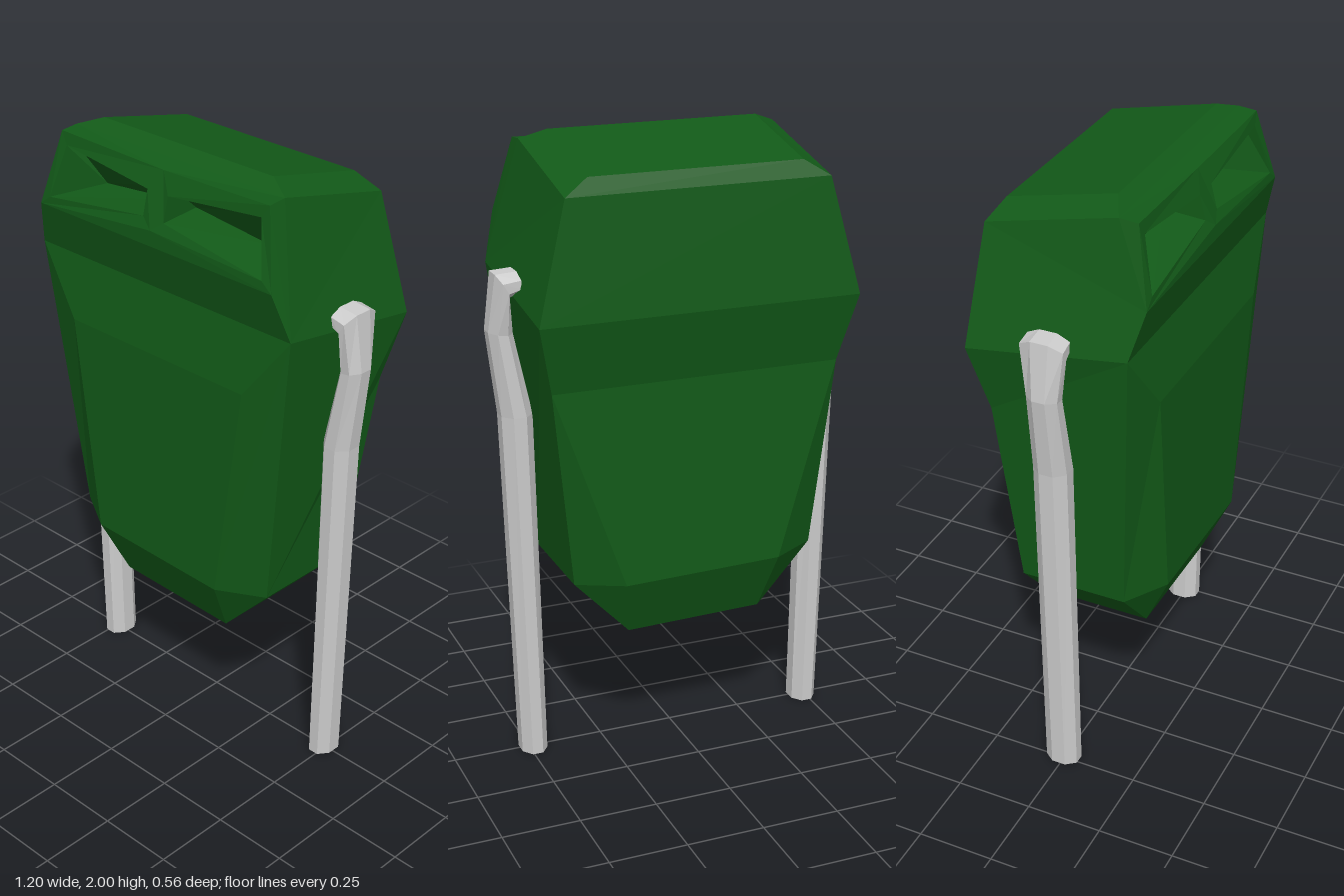
import * as THREE from 'three';

const green = new THREE.MeshStandardMaterial({ color: 0x125a18, flatShading: true });
const grey = new THREE.MeshStandardMaterial({ color: 0xcccccc, flatShading: true });

const V = (x, y, z) => new THREE.Vector3(x, y, z);
const mirror = (p) => V(-p.x, p.y, p.z);

// Collects flat polygons, each turned to face away from (or towards) a reference point
class Facets {
  constructor() { this.pos = []; }
  add(points, ref, inward = false) {
    const n = V(0, 0, 0), mid = V(0, 0, 0);
    points.forEach((p, i) => {
      n.add(p.clone().cross(points[(i + 1) % points.length]));
      mid.addScaledVector(p, 1 / points.length);
    });
    const flip = (n.dot(mid.sub(ref)) < 0) !== inward;
    const pts = flip ? [...points].reverse() : points;
    for (let i = 1; i < pts.length - 1; i++) {
      for (const p of [pts[0], pts[i], pts[i + 1]]) this.pos.push(p.x, p.y, p.z);
    }
  }
  mesh(name, material) {
    const g = new THREE.BufferGeometry();
    g.setAttribute('position', new THREE.Float32BufferAttribute(this.pos, 3));
    g.computeVertexNormals();
    const m = new THREE.Mesh(g, material);
    m.name = name;
    return m;
  }
}

// Corners of the +x half of the shell
const shoulderF = V(0.52, 1.58, 0.24), shoulderB = V(0.52, 1.5, -0.28);
const waistB = V(0.47, 1.28, -0.23);
const panelTop = V(0.36, 1.37, 0.27), panelLow = V(0.26, 0.64, 0.265);
const hipF = V(0.405, 0.64, 0.18), hipB = V(0.405, 0.64, -0.17), backLow = V(0.26, 0.64, -0.25);
const baseF = V(0.225, 0.447, 0.175), baseB = V(0.225, 0.447, -0.17);
const visorLow = V(0.48, 1.73, 0.28), visorTop = V(0.425, 1.965, 0.23);
const crownF = V(0.425, 1.97, 0.17), crownB = V(0.425, 1.87, -0.25);
const roofF = V(0.345, 2.0, 0.13), roofB = V(0.345, 1.92, -0.22);
const midLow = V(0, 1.78, 0.28), midTop = V(0, 1.95, 0.22);

// The lower hull leans very slightly to one side
function lean(p) {
  if (p.y > 0.7) return p;
  return V(p.x - 0.015, p.y - 0.025 * p.x, p.z);
}

function makeBody() {
  const f = new Facets();
  const centre = V(0, 1.2, 0);
  const face = (pts) => f.add(pts.map(lean), centre);
  const band = (a, b) => face([a, mirror(a), mirror(b), b]);
  const both = (pts) => { face(pts); face(pts.map(mirror)); };

  // Full-width faces: front, base, back and roof
  [[shoulderF, panelTop], [panelTop, panelLow], [panelLow, baseF], [baseF, baseB],
    [baseB, backLow], [backLow, waistB], [waistB, shoulderB], [shoulderB, crownB],
    [crownB, roofB], [roofB, roofF], [roofF, crownF]].forEach(([a, b]) => band(a, b));

  // Chin below the visor and brow above it
  face([midLow, visorLow, shoulderF, mirror(shoulderF), mirror(visorLow)]);
  face([midTop, visorTop, crownF, mirror(crownF), mirror(visorTop)]);

  // Mirrored flanks, corner chamfers and roof bevels
  both([shoulderF, shoulderB, waistB, hipB, hipF]);
  both([shoulderF, panelTop, panelLow, hipF]);
  both([waistB, hipB, backLow]);
  both([hipF, panelLow, baseF]);
  both([hipB, backLow, baseB]);
  both([hipF, hipB, baseB, baseF]);
  both([shoulderF, shoulderB, crownB, crownF, visorTop, visorLow]);
  both([crownB, crownF, roofF, roofB]);
  return f.mesh('body', green);
}

// Visor frame with a wedge-shaped recess on each side of the middle post
function makeVisor() {
  const f = new Facets();
  const centre = V(0, 1.8, 0);
  const onFrame = (x, y) => V(x, y, 0.28 - 0.25 * (y - 1.75));
  const outer = [visorLow, midLow, midTop, visorTop];
  const rim = [onFrame(0.44, 1.76), onFrame(0.042, 1.81), onFrame(0.042, 1.888), onFrame(0.4, 1.925)];
  const back = [V(0.34, 1.79, 0.13), V(0.042, 1.82, 0.13), V(0.042, 1.885, 0.2), V(0.395, 1.92, 0.2)];
  const inside = V(0.23, 1.84, 0.24);
  for (const side of [(p) => p, mirror]) {
    for (let i = 0; i < 4; i++) {
      const j = (i + 1) % 4;
      f.add([outer[i], outer[j], rim[j], rim[i]].map(side), centre);
      f.add([rim[i], rim[j], back[j], back[i]].map(side), side(inside), true);
    }
    f.add(back.map(side), side(inside), true);
  }
  return f.mesh('visor', green);
}

// Eight-sided limb: each ring is [inner x, y, outer x, y, half depth, centre z]
function makeLimb(side, name) {
  const rings = [
    [0.445, 0, 0.53, 0, 0.055, -0.006],
    [0.465, 1.16, 0.565, 1.16, 0.056, -0.004],
    [0.52, 1.42, 0.598, 1.43, 0.05, -0.004],
    [0.53, 1.535, 0.575, 1.61, 0.07, -0.008],
    [0.502, 1.55, 0.508, 1.615, 0.068, -0.012],
  ].map(([xi, yi, xo, yo, d, z]) => Array.from({ length: 8 }, (_, i) => {
    const a = (i + 0.5) * Math.PI / 4;
    const c = 0.5 + 0.5 * Math.min(1, Math.max(-1, Math.cos(a) * 1.08));
    return V(side * (xi + (xo - xi) * c), yi + (yo - yi) * c, z + d * 1.08 * Math.sin(a));
  }));
  const middle = (r) => r.reduce((s, p) => s.addScaledVector(p, 1 / 8), V(0, 0, 0));
  const f = new Facets();
  for (let k = 0; k < rings.length - 1; k++) {
    const core = middle(rings[k]).lerp(middle(rings[k + 1]), 0.5);
    for (let i = 0; i < 8; i++) {
      const j = (i + 1) % 8;
      f.add([rings[k][i], rings[k][j], rings[k + 1][j], rings[k + 1][i]], core);
    }
  }
  f.add(rings[0], middle(rings[1]));
  f.add(rings[4], middle(rings[3]));
  return f.mesh(name, grey);
}

export function createModel() {
  const model = new THREE.Group();
  model.name = 'figure';
  model.add(makeBody(), makeVisor(), makeLimb(1, 'leftLeg'), makeLimb(-1, 'rightLeg'));
  return model;
}
